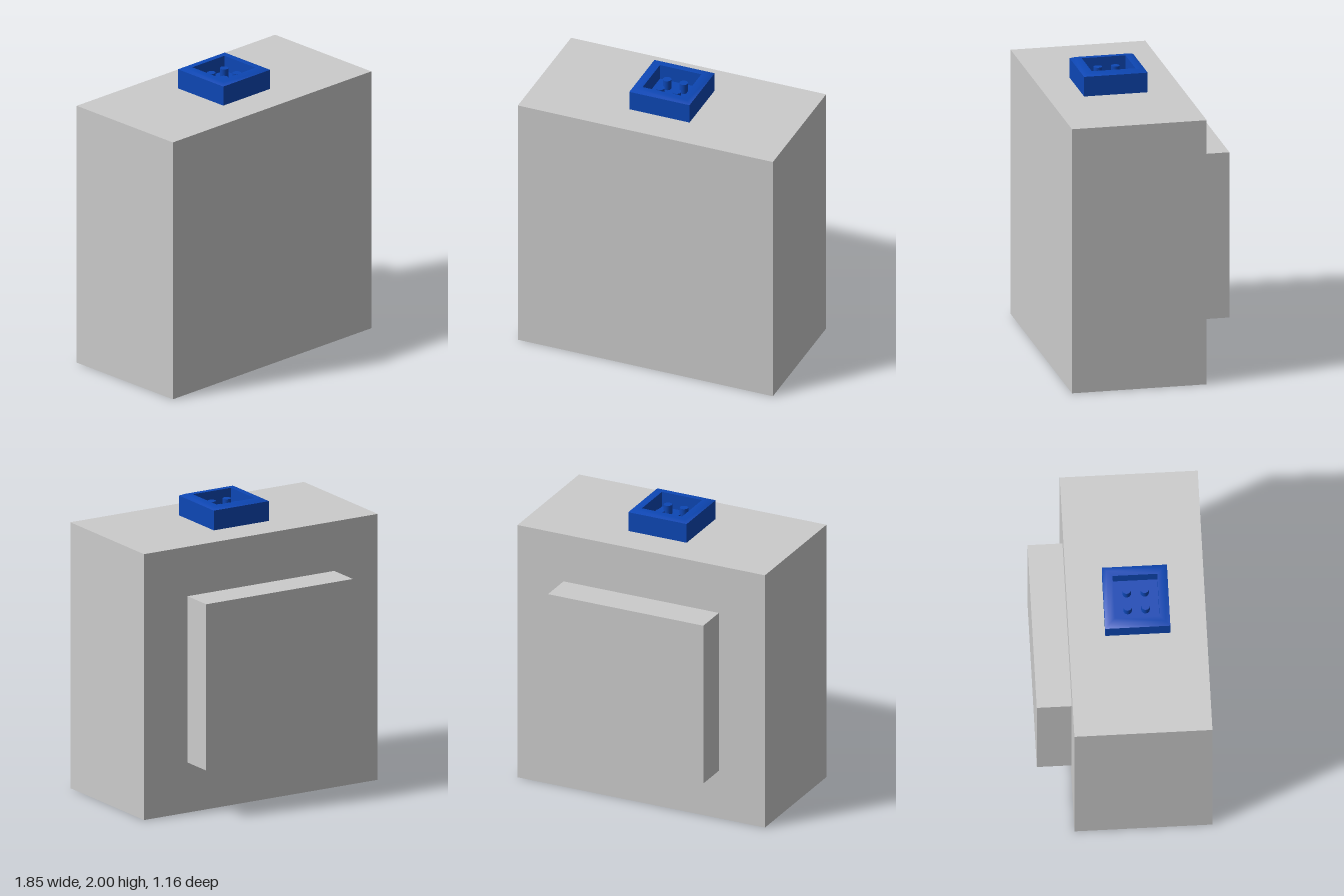
import * as THREE from 'three';
import { toCreasedNormals } from 'three/addons/utils/BufferGeometryUtils.js';

const CENTRE_Z = 0.117; // depth centre of the main body

export function createModel() {
  const model = new THREE.Group();
  const grey = new THREE.MeshStandardMaterial({ color: 0xcccccc });
  const blue = new THREE.MeshStandardMaterial({ color: 0x0d47b5 });

  const add = (name, geometry, material, x, y, z, parent = model) => {
    const mesh = new THREE.Mesh(geometry, material);
    mesh.name = name;
    mesh.position.set(x, y, z);
    parent.add(mesh);
    return mesh;
  };

  // Main body and the raised panel on its back
  add('body', new THREE.BoxGeometry(1.848, 1.848, 0.924), grey, 0, 0.924, CENTRE_Z);
  add('backPanel', new THREE.BoxGeometry(1.16, 1.156, 0.238), grey, 0, 0.926, -0.46);

  // Connector on top: a four-sided lathe makes the square socket with its bevelled rim
  const connector = new THREE.Group();
  connector.name = 'connector';
  connector.position.set(0, 1.848, CENTRE_Z);
  model.add(connector);

  const floor = 0.045;
  const profile = [
    [0.218, 0], [0.218, 0.137], [0.188, 0.152], // outer wall and bevel
    [0.15, 0.152], [0.15, floor], [0, floor],   // rim, inner wall and floor
  ].map(([half, y]) => new THREE.Vector2(half * Math.SQRT2, y));
  const socket = new THREE.LatheGeometry(profile, 4, Math.PI / 4);
  add('socket', toCreasedNormals(socket, 0.7), blue, 0, 0, 0, connector);

  // Four contact pins inside the socket
  const pinHeight = 0.07;
  const pin = new THREE.CylinderGeometry(0.029, 0.029, pinHeight, 16);
  for (const x of [-0.06, 0.06]) {
    for (const z of [-0.06, 0.06]) {
      add('pin', pin, blue, x, floor + pinHeight / 2, z, connector);
    }
  }
  return model;
}
